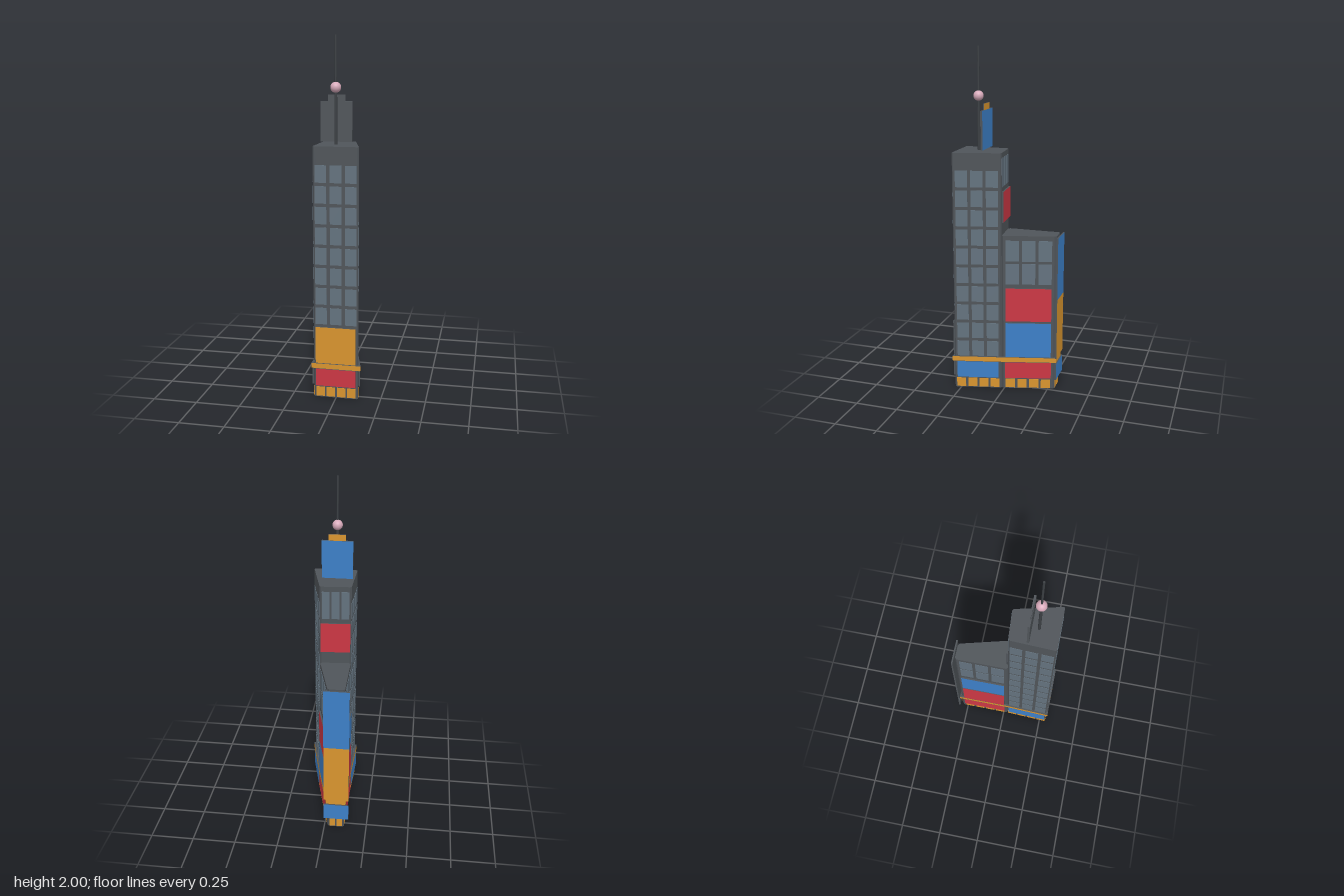
import * as THREE from 'three';

const mat = (name, color) => {
  const m = new THREE.MeshStandardMaterial({ color });
  m.name = name;
  return m;
};

export function createModel() {
  const wallMat = mat('wall grey', 0x50555a);
  const glass = mat('window glass', 0x64737f);
  const orange = mat('orange', 0xd9952f);
  const red = mat('red', 0xcc3744);
  const blue = mat('blue', 0x3d80c8);
  const dark = mat('mast dark grey', 0x3c4044);
  const pink = mat('pink', 0xd8aabb);

  const model = new THREE.Group();
  model.name = 'skyscraper';

  function add(parent, name, geometry, material, x, y, z) {
    const mesh = new THREE.Mesh(geometry, material);
    mesh.name = name;
    mesh.position.set(x, y, z);
    parent.add(mesh);
  }

  // Prism over a plan of [x, z] corners, with each corner cut off
  function block(name, plan, height, cut) {
    const pts = [];
    plan.forEach((p, i) => {
      const here = new THREE.Vector2(p[0], -p[1]);
      for (const step of [plan.length - 1, 1]) {
        const q = plan[(i + step) % plan.length];
        const dir = new THREE.Vector2(q[0], -q[1]).sub(here).normalize();
        pts.push(here.clone().addScaledVector(dir, cut));
      }
    });
    const g = new THREE.ExtrudeGeometry(new THREE.Shape(pts), { depth: height, bevelEnabled: false });
    g.rotateX(-Math.PI / 2);
    add(model, name, g, wallMat, 0, 0, 0);
  }

  // Group on the wall from a to b: local x runs along it, local z points out
  function wall(name, a, b) {
    const g = new THREE.Group();
    g.name = name;
    g.position.set((a[0] + b[0]) / 2, 0, (a[1] + b[1]) / 2);
    g.rotation.y = Math.atan2(a[1] - b[1], b[0] - a[0]);
    g.userData.length = Math.hypot(b[0] - a[0], b[1] - a[1]);
    model.add(g);
    return g;
  }

  // Sign board: grey box with a coloured outer face
  function board(parent, color, width, y0, y1, x = 0, z = 0.0065) {
    const mats = [wallMat, wallMat, wallMat, wallMat, color, wallMat];
    add(parent, 'signBoard', new THREE.BoxGeometry(width, y1 - y0, 0.009), mats, x, (y0 + y1) / 2, z);
  }

  // Grid of thin panes, rows counted down from the top
  function panes(parent, name, color, cols, pitchX, w, rows, top, pitchY, h) {
    const g = new THREE.BoxGeometry(w, h, 0.004);
    for (let r = 0; r < rows; r++)
      for (let c = 0; c < cols; c++)
        add(parent, name, g, color, (c - (cols - 1) / 2) * pitchX, top - r * pitchY - h / 2, 0);
  }

  // Ledge bar: orange outside and ends, grey above and below
  function ledge(parent) {
    const mats = [orange, orange, wallMat, wallMat, orange, wallMat];
    const g = new THREE.BoxGeometry(parent.userData.length + 0.018, 0.028, 0.012);
    add(parent, 'ledge', g, mats, 0, 0.187, 0.005);
  }

  // Plan corners: tower front, tower back, wing back
  const FL = [-0.127, 0.288], FR = [0.127, 0.288];
  const MR = [0.06, 0.016], ML = [-0.117, 0.028];
  const BR = [-0.02, -0.287], BL = [-0.117, -0.287];

  block('tower', [FL, FR, MR, ML], 1.42, 0.008);
  block('rearWing', [ML, MR, BR, BL], 0.945, 0.01);

  // Tower front
  const front = wall('towerFront', FL, FR);
  panes(front, 'window', glass, 3, 0.083, 0.064, 8, 1.32, 0.1135, 0.095);
  panes(front, 'shopWindow', orange, 4, 0.059, 0.048, 1, 0.06, 0, 0.055);
  board(front, orange, 0.227, 0.205, 0.415);
  board(front, red, 0.227, 0.07, 0.17);
  ledge(front);

  // Tower sides and wing sides
  const sides = [
    [wall('towerRight', FR, MR), wall('wingRight', MR, BR), red, blue],
    [wall('towerLeft', ML, FL), wall('wingLeft', BL, ML), blue, red],
  ];
  for (const [tower, wing, upper, lower] of sides) {
    panes(tower, 'window', glass, 3, 0.087, 0.069, 10, 1.32, 0.1135, 0.095);
    panes(tower, 'shopWindow', orange, 4, 0.067, 0.054, 1, 0.06, 0, 0.055);
    board(tower, blue, 0.245, 0.07, 0.17);
    ledge(tower);

    panes(wing, 'window', glass, 3, 0.095, 0.077, 2, 0.917, 0.138, 0.124);
    panes(wing, 'shopWindow', orange, 4, 0.07, 0.056, 1, 0.06, 0, 0.055);
    board(wing, upper, 0.268, 0.43, 0.632);
    board(wing, lower, 0.268, 0.205, 0.418);
    board(wing, red, 0.272, 0.07, 0.17);
    ledge(wing);
  }

  // Tower back above the wing
  const back = wall('towerBack', MR, ML);
  panes(back, 'window', glass, 3, 0.055, 0.044, 1, 1.39, 0, 0.165);
  board(back, red, 0.17, 1.02, 1.2);

  // Wing back with the tall two-colour sign
  const rear = wall('wingBack', BR, BL);
  panes(rear, 'shopWindow', orange, 2, 0.042, 0.034, 1, 0.06, 0, 0.055);
  for (const [color, y0, y1] of [[blue, 0.57, 0.94], [orange, 0.205, 0.57], [blue, 0.07, 0.17]])
    board(rear, color, 0.147, y0, y1, 0.003, 0.012);
  ledge(rear);

  // Roof signs, coloured on the back
  const signMats = (color) => [wallMat, wallMat, wallMat, wallMat, wallMat, color];
  add(model, 'roofSign', new THREE.BoxGeometry(0.176, 0.22, 0.012), signMats(blue), -0.026, 1.54, 0.131);
  add(model, 'roofSignTop', new THREE.BoxGeometry(0.096, 0.036, 0.007), signMats(orange), -0.025, 1.668, 0.131);

  // Mast and ball
  add(model, 'mastLower', new THREE.CylinderGeometry(0.008, 0.008, 0.29, 12), dark, -0.021, 1.565, 0.175);
  add(model, 'mastUpper', new THREE.CylinderGeometry(0.0055, 0.0055, 0.29, 12), dark, -0.021, 1.855, 0.175);
  add(model, 'mastBall', new THREE.SphereGeometry(0.029, 24, 16), pink, -0.021, 1.726, 0.175);

  return model;
}
